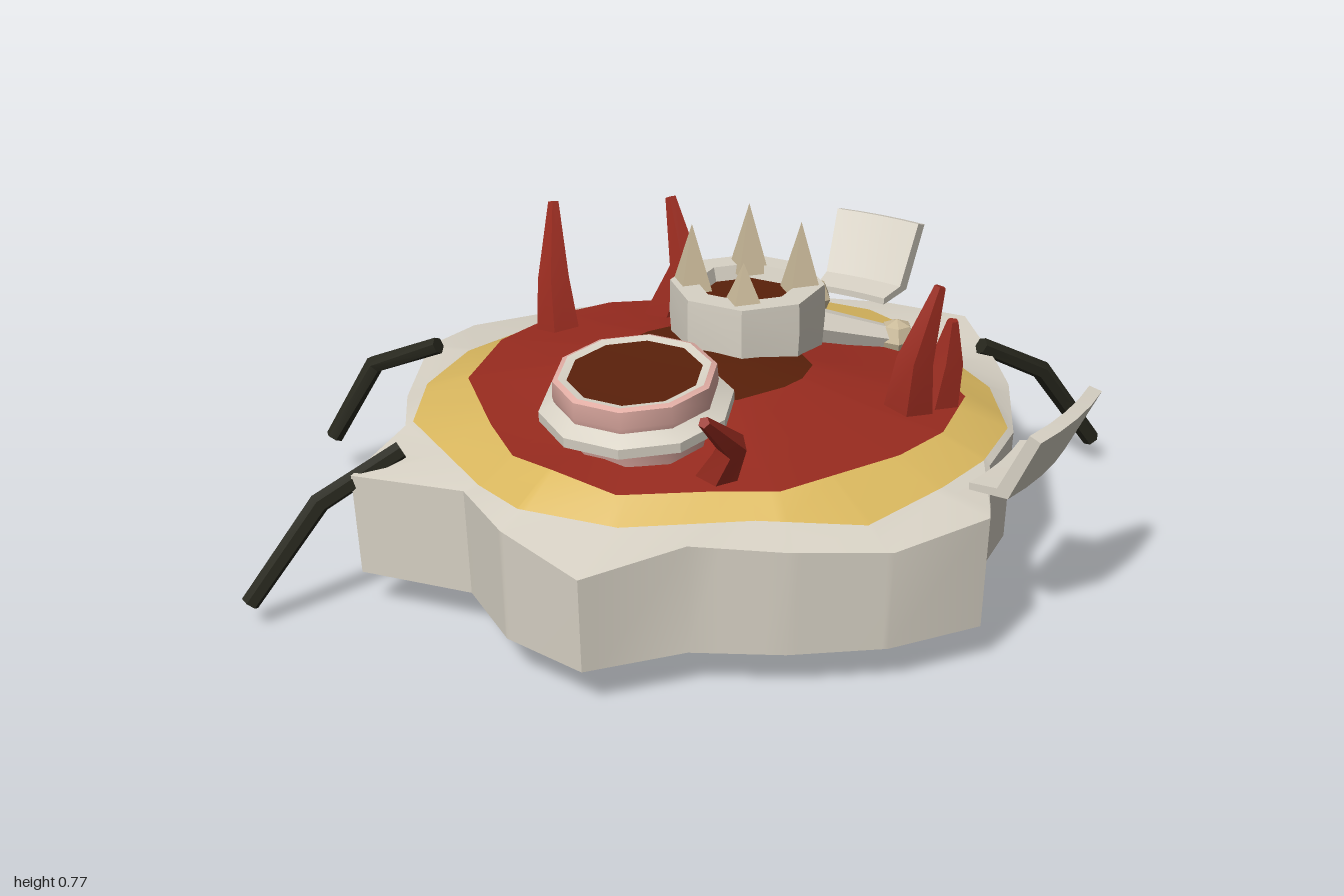
import * as THREE from 'three';
import { toCreasedNormals } from 'three/addons/utils/BufferGeometryUtils.js';

const mat = (name, color) => new THREE.MeshStandardMaterial({ name, color, side: THREE.DoubleSide });
const bone = mat('bone', 0xd8d2c5);
const red = mat('red flesh', 0x982b1f);
const yellow = mat('yellow rim', 0xdab85f);
const brown = mat('dark brown', 0x59200a);
const tan = mat('tan spike', 0xc9b999);
const pink = mat('pink', 0xe0aca3);
const dark = mat('dark leg', 0x27271d);

// Skin a list of closed loops, each an array of Vector3
function loft(loops, crease = 0.5) {
  const n = loops[0].length, pos = [], index = [];
  loops.forEach(l => l.forEach(p => pos.push(p.x, p.y, p.z)));
  for (let k = 0; k < loops.length - 1; k++) {
    for (let i = 0; i < n; i++) {
      const j = (i + 1) % n, a = k * n, b = a + n;
      index.push(a + i, b + i, a + j, b + i, b + j, a + j);
    }
  }
  const g = new THREE.BufferGeometry();
  g.setAttribute('position', new THREE.Float32BufferAttribute(pos, 3));
  g.setIndex(index);
  return toCreasedNormals(g, crease);
}

// Faceted limb through points with a radius at each point, capped at both ends
function limb(points, radii, sides) {
  const pts = points.map(p => new THREE.Vector3(...p));
  const up = new THREE.Vector3(0, 1, 0);
  const ring = (k, r) => {
    const dir = pts[Math.min(k + 1, pts.length - 1)].clone().sub(pts[Math.max(k - 1, 0)]).normalize();
    const q = new THREE.Quaternion().setFromUnitVectors(up, dir);
    return Array.from({ length: sides }, (_, i) => {
      const a = (i / sides) * Math.PI * 2;
      return new THREE.Vector3(r * Math.cos(a), 0, r * Math.sin(a)).applyQuaternion(q).add(pts[k]);
    });
  };
  const loops = pts.map((_, k) => ring(k, radii[k]));
  return loft([ring(0, 0), ...loops, ring(pts.length - 1, 0)]);
}

const lathe = (pts, sides, crease = 0.5) => toCreasedNormals(
  new THREE.LatheGeometry(pts.map(p => new THREE.Vector2(...p)), sides, Math.PI / sides), crease);

// Ground outlines as [x, z, y], going from +x towards +z
const CX = 0.05, CZ = 0.08;
const outerEdge = [
  [0.19, -0.67, 0.385], [0.41, -0.65, 0.395], [0.56, -0.49, 0.36], [0.64, -0.37, 0.36], [0.76, -0.09, 0.37],
  [0.775, 0.1, 0.37], [0.875, 0.35, 0.372], [0.73, 0.54, 0.34], [0.54, 0.67, 0.355], [0.34, 0.76, 0.365],
  [0.17, 0.947, 0.328], [-0.05, 0.89, 0.37], [-0.235, 0.745, 0.36], [-0.52, 0.775, 0.348], [-0.545, 0.51, 0.36],
  [-0.66, 0.33, 0.34], [-0.772, 0.056, 0.35], [-0.755, -0.13, 0.34], [-0.58, -0.32, 0.35], [-0.38, -0.44, 0.37],
  [-0.26, -0.59, 0.36], [-0.05, -0.6, 0.38]];
const yellowEdge = [
  [0.17, -0.59, 0.39], [0.3, -0.53, 0.39], [0.43, -0.44, 0.38], [0.62, -0.29, 0.38], [0.745, -0.09, 0.38],
  [0.76, 0.1, 0.38], [0.73, 0.27, 0.38], [0.65, 0.5, 0.37], [0.43, 0.61, 0.38], [0.17, 0.76, 0.37],
  [-0.05, 0.815, 0.39], [-0.21, 0.72, 0.37], [-0.53, 0.5, 0.37], [-0.62, 0.3, 0.37], [-0.64, 0.08, 0.37],
  [-0.56, -0.18, 0.37], [-0.42, -0.37, 0.38], [-0.25, -0.49, 0.38], [-0.05, -0.585, 0.39]];
const redEdge = [
  [0.14, -0.43, 0.42], [0.35, -0.37, 0.42], [0.49, -0.25, 0.42], [0.62, -0.13, 0.42], [0.65, 0.08, 0.42],
  [0.61, 0.24, 0.42], [0.45, 0.53, 0.42], [0.33, 0.59, 0.42], [0.14, 0.71, 0.42], [-0.02, 0.71, 0.445],
  [-0.155, 0.66, 0.43], [-0.3, 0.52, 0.42], [-0.5, 0.3, 0.41], [-0.54, 0.08, 0.42], [-0.5, -0.13, 0.42],
  [-0.42, -0.26, 0.42], [-0.26, -0.37, 0.42], [-0.05, -0.45, 0.42]];

// Point where an outline is met by a ray from the middle
function sample(outline, angle) {
  const c = Math.cos(angle), s = Math.sin(angle);
  const cross = p => c * (p[1] - CZ) - s * (p[0] - CX);
  for (let i = 0; i < outline.length; i++) {
    const a = outline[i], b = outline[(i + 1) % outline.length];
    const ca = cross(a), cb = cross(b);
    if (ca > 1e-9 || cb <= 1e-9) continue;
    const t = ca / (ca - cb);
    const [x, z, y] = a.map((v, k) => v + (b[k] - v) * t);
    if (c * (x - CX) + s * (z - CZ) > 0) return new THREE.Vector3(x, y, z);
  }
  return new THREE.Vector3(CX, 0.4, CZ);
}

export function createModel() {
  const model = new THREE.Group();
  const add = (name, geometry, material, parent = model) => {
    const m = new THREE.Mesh(geometry, material);
    m.name = name;
    parent.add(m);
    return m;
  };

  // Ground: hollow wall, pale shoulder, yellow band, red mound and brown crown
  const angles = [...outerEdge, ...yellowEdge, ...redEdge]
    .map(p => Math.atan2(p[1] - CZ, p[0] - CX)).sort((a, b) => a - b)
    .filter((a, i, l) => i === 0 || a - l[i - 1] > 0.012);
  const [outer, mid, inner] = [outerEdge, yellowEdge, redEdge].map(e => angles.map(a => sample(e, a)));
  const base = outer.map(p => new THREE.Vector3(CX + (p.x - CX) * 0.985, 0.097, CZ + (p.z - CZ) * 0.985));
  const shrink = (f, y) => inner.map(p => new THREE.Vector3(CX + (p.x - CX) * f, y, CZ + (p.z - CZ) * f));
  const rim = shrink(0.4, 0.482);
  add('wall', loft([base, outer], 0.7), bone);
  add('shoulder', loft([outer, mid]), bone);
  add('yellowBand', loft([mid, inner]), yellow);
  add('redMound', loft([inner, shrink(0.7, 0.445), rim]), red);
  add('brownCrown', loft([rim, shrink(0.2, 0.495), shrink(0, 0.5)]), brown);

  // Tilted vent passing through the mound
  const vent = new THREE.Group();
  vent.name = 'vent';
  vent.position.set(0.053, 0.45, 0.45);
  vent.rotation.x = 0.09;
  model.add(vent);
  add('ventTube', lathe([[0.12, -0.2], [0.17, -0.21], [0.17, -0.13], [0.165, 0.04], [0.182, 0.075],
    [0.19, 0.11], [0.188, 0.15], [0.175, 0.155]], 10, 0.8), pink, vent);
  for (const y of [-0.115, 0.065]) {
    add('ventCollar', lathe([[0.165, y - 0.035], [0.224, y - 0.012], [0.224, y + 0.012], [0.18, y + 0.035]], 10), bone, vent);
  }
  add('ventLip', lathe([[0.177, 0.154], [0.155, 0.15]], 10), bone, vent);
  add('ventMouth', lathe([[0.157, 0.15], [0, 0.145]], 10), brown, vent);
  add('ventUnderside', lathe([[0, -0.192], [0.125, -0.197]], 10), red, vent);

  // Eight-sided tower with a dark well and spikes
  const tower = new THREE.Group();
  tower.name = 'tower';
  tower.position.set(0.055, 0, -0.1);
  model.add(tower);
  add('towerWall', lathe([[0, 0.4], [0.18, 0.4], [0.19, 0.54], [0.188, 0.62], [0.125, 0.62], [0.115, 0.58]], 8), bone, tower);
  add('towerWell', lathe([[0.118, 0.585], [0, 0.58]], 8), brown, tower);
  for (const [x, z, top] of [[0, -0.22, 0.775], [0.17, -0.16, 0.775], [-0.07, -0.05, 0.765], [0.1, 0.01, 0.715]]) {
    const h = top - 0.6;
    add('towerSpike', toCreasedNormals(new THREE.ConeGeometry(0.055, h, 4), 0.3), tan)
      .position.set(x, 0.6 + h / 2, z);
  }

  // Pipes running back from the tower to faceted knobs
  for (const [x, z] of [[-0.245, -0.33], [0.055, -0.48], [0.355, -0.33]]) {
    const sx = 0.055 + (x - 0.055) * 0.4, sz = -0.1 + (z + 0.1) * 0.4;
    add('pipe', limb([[sx, 0.5, sz], [x, 0.445, z]], [0.048, 0.028], 6), bone);
    add('pipeKnob', toCreasedNormals(new THREE.SphereGeometry(0.05, 6, 4), 0.3), tan)
      .position.set(x, 0.445, z);
  }

  // Bent red horns: base, bend, tip, thickness
  const horns = [
    [[-0.44, 0.4, -0.04], [-0.465, 0.55, -0.06], [-0.51, 0.72, -0.14], 0.06],
    [[-0.23, 0.43, -0.22], [-0.175, 0.58, -0.22], [-0.245, 0.735, -0.27], 0.06],
    [[0.53, 0.4, 0.01], [0.55, 0.56, 0.02], [0.585, 0.73, -0.03], 0.065],
    [[0.57, 0.4, -0.06], [0.59, 0.53, -0.08], [0.6, 0.63, -0.08], 0.058],
    [[0.29, 0.41, 0.53], [0.345, 0.52, 0.555], [0.335, 0.62, 0.67], 0.05]];
  for (const [a, b, c, r] of horns) {
    add('horn', limb([a, b, c], [r, r * 0.7, 0.014], 5), red);
  }

  // Jointed legs: hip, knee, foot
  const legs = [
    [[-0.45, 0.385, 0.67], [-0.58, 0.285, 0.82], [-0.695, 0.06, 0.955]],
    [[-0.7, 0.39, 0.125], [-0.89, 0.305, 0.135], [-0.98, 0.11, 0.205]],
    [[-0.305, 0.39, -0.55], [-0.42, 0.29, -0.77], [-0.46, 0.015, -0.965]],
    [[0.515, 0.39, -0.5], [0.625, 0.29, -0.645], [0.73, 0.065, -0.77]]];
  for (const l of legs) add('leg', limb(l, [0.022, 0.025, 0.022], 6), dark);

  // Curved flanged plates, swept about the middle
  const section = [[0.765, 0.388], [0.765, 0.405], [0.84, 0.415], [0.918, 0.567], [0.948, 0.558], [0.87, 0.398]];
  const plate = (name, angle, spread, shift) => {
    const at = ([r, y], k) => {
      const a = angle + k * spread;
      return new THREE.Vector3(CX + (r + shift) * Math.cos(a), y, CZ + (r + shift) * Math.sin(a));
    };
    const loops = [-1, -0.5, 0, 0.5, 1].map(k => section.map(p => at(p, k)));
    const cap = k => section.map(() => at([0.855, 0.407], k));
    add(name, loft([cap(-1), ...loops, cap(1)], 0.4), bone);
  };
  plate('leftPlate', 0.078, 0.172, 0);
  plate('backPlate', -Math.PI / 2 + 0.05, 0.135, -0.03);
  return model;
}
